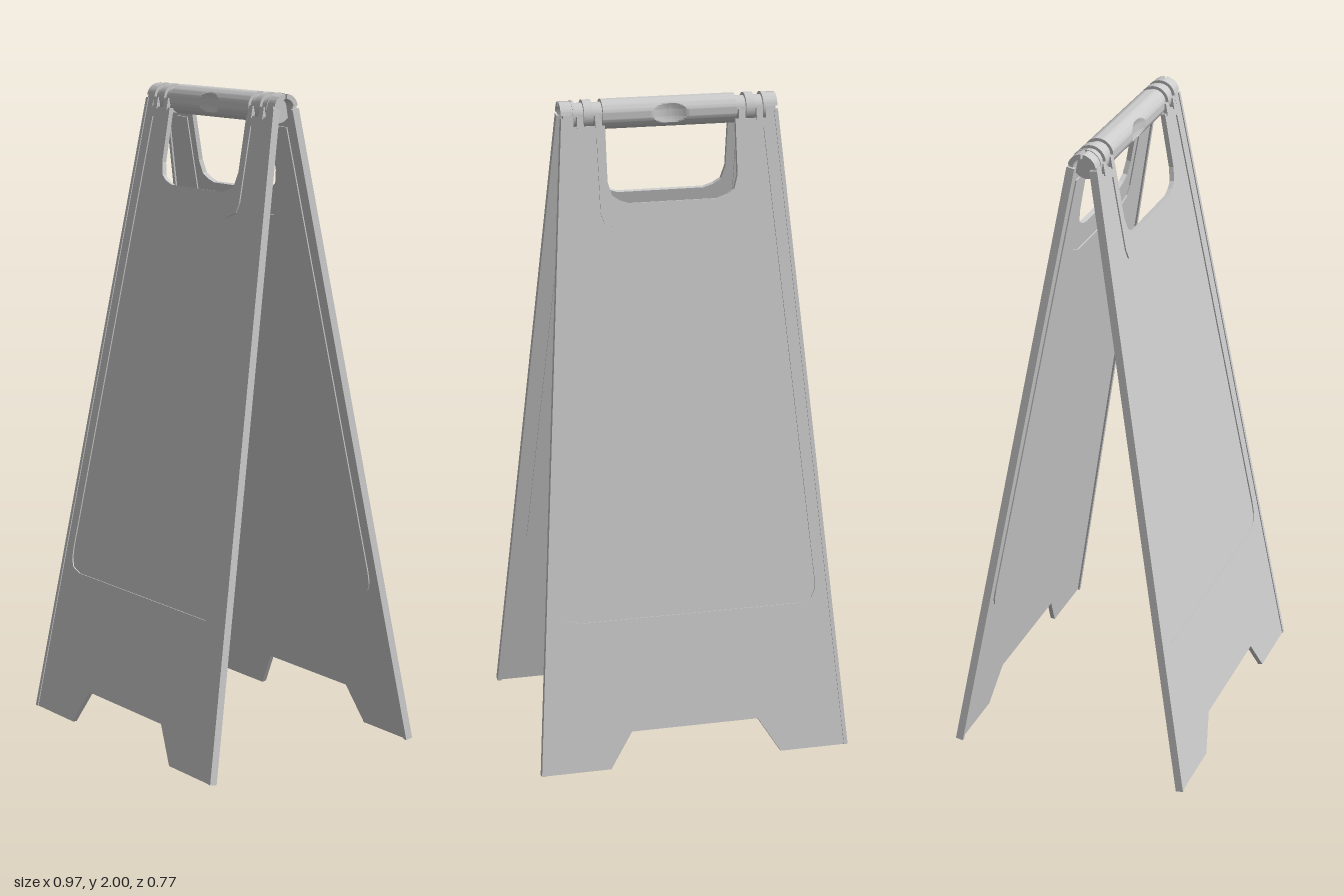
import * as THREE from 'three';
import { toCreasedNormals } from 'three/addons/utils/BufferGeometryUtils.js';

const PIVOT_Y = 1.955, BAR_R = 0.045, TILT = 0.1718;
const material = new THREE.MeshStandardMaterial({ color: 0xcccccc });

// Height above the floor -> distance along a tilted leaf, measured from the hinge
const along = (y) => (y - 1.963) / Math.cos(TILT);

function addMesh(parent, name, geometry) {
  const mesh = new THREE.Mesh(geometry, material);
  mesh.name = name;
  parent.add(mesh);
  return mesh;
}

// Closed shape from right-half points [x, height], mirrored to the left
function mirroredShape(half) {
  const right = half.map(([x, y]) => new THREE.Vector2(x, along(y)));
  const left = right.map((p) => new THREE.Vector2(-p.x, p.y)).reverse();
  return new THREE.Shape([...right, ...left]);
}

function slab(shape, back, front) {
  const g = new THREE.ExtrudeGeometry(shape, { depth: front - back, bevelEnabled: false });
  return g.translate(0, 0, back);
}

// Leaf outline: notched foot, sloping sides, shoulders and hand opening
const OUTLINE = [
  [0.2, 0.11], [0.27, 0], [0.48, 0], [0.325, 1.963], [0.295, 1.963], [0.295, 1.93],
  [0.2, 1.93], [0.2, 1.765], [0.188, 1.725], [0.165, 1.71], [0.135, 1.7],
];

// Sunken field, running up both sides of the hand opening
const FIELD = [
  [0.345, 0.457], [0.385, 0.47], [0.397, 0.495], [0.398, 0.53], [0.287, 1.9],
  [0.227, 1.9], [0.225, 1.675], [0.215, 1.645], [0.165, 1.625],
];

function makeLeaf(name) {
  const leaf = new THREE.Group();
  leaf.name = name;

  const outline = mirroredShape(OUTLINE);
  const field = mirroredShape(FIELD);
  outline.holes.push(new THREE.Path(field.getPoints()));
  addMesh(leaf, 'leafFrame', slab(outline, 0.028, 0.043));
  addMesh(leaf, 'sunkenField', slab(field, 0.024, 0.039));

  for (const s of [-1, 1]) {
    // Thickened side edge
    const edge = new THREE.Shape([
      [0.475, 0], [0.487, 0], [0.332, 1.955], [0.32, 1.955],
    ].map(([x, y]) => new THREE.Vector2(s * x, along(y))));
    addMesh(leaf, 'sideRim', slab(edge, 0.022, 0.046));

    // Curved shoulder reaching almost to the other leaf over the hinge
    const end = Math.PI / 2 - TILT - 0.09;
    const arc = new THREE.Shape();
    arc.absarc(0, 0, 0.043, 0, end, false);
    arc.absarc(0, 0, 0.028, end, 0, true);
    arc.closePath();
    const cap = new THREE.ExtrudeGeometry(arc, { depth: 0.037, bevelEnabled: false, curveSegments: 14 });
    cap.rotateY(-Math.PI / 2).translate(s > 0 ? 0.332 : -0.295, 0, 0);
    addMesh(leaf, 'hingeShoulder', toCreasedNormals(cap, 0.6));

    // Hinge lugs below the slots
    for (const x of [0.22, 0.275]) {
      const lug = addMesh(leaf, 'hingeLug', new THREE.BoxGeometry(0.02, 0.036, 0.012));
      lug.position.set(s * x, -0.022, 0.041);
    }
  }
  return leaf;
}

// Cylinder lying along x
function rod(x0, x1, radius, segments = 1) {
  const g = new THREE.CylinderGeometry(radius, radius, x1 - x0, 64, segments);
  return g.rotateZ(Math.PI / 2).translate((x0 + x1) / 2, 0, 0);
}

// Press a spherical finger dimple into the front and back of the grip
function dimple(geometry) {
  const R = 0.1, centre = 0.129;
  const p = geometry.attributes.position;
  for (let i = 0; i < p.count; i++) {
    const x = p.getX(i), y = p.getY(i), z = p.getZ(i);
    const d2 = R * R - x * x - y * y;
    if (d2 <= 0) continue;
    const limit = centre - Math.sqrt(d2);
    if (Math.abs(z) > limit) p.setZ(i, Math.sign(z) * limit);
  }
  return toCreasedNormals(geometry, 0.45);
}

function makeHandle() {
  const handle = new THREE.Group();
  handle.name = 'handle';
  handle.position.y = PIVOT_Y;
  addMesh(handle, 'gripBar', dimple(rod(-0.205, 0.205, BAR_R, 80)));
  // Narrow hinge slots alternate with full-width knuckles
  for (const s of [-1, 1]) {
    const pieces = [
      ['hingeSlot', 0.205, 0.235, 0.036], ['hingeKnuckle', 0.235, 0.262, BAR_R],
      ['hingeSlot', 0.262, 0.288, 0.036], ['hingeKnuckle', 0.288, 0.296, BAR_R],
    ];
    for (const [name, a, b, r] of pieces) {
      addMesh(handle, name, s > 0 ? rod(a, b, r) : rod(-b, -a, r));
    }
  }
  return handle;
}

export function createModel() {
  const model = new THREE.Group();
  model.name = 'foldingFloorSign';
  model.add(makeHandle());

  // Two identical leaves leaning together
  for (const [name, turn] of [['frontLeaf', 0], ['backLeaf', Math.PI]]) {
    const side = new THREE.Group();
    side.name = name + 'Side';
    side.position.y = PIVOT_Y;
    side.rotation.y = turn;
    const leaf = makeLeaf(name);
    leaf.rotation.x = -TILT;
    side.add(leaf);
    model.add(side);
  }
  return model;
}
